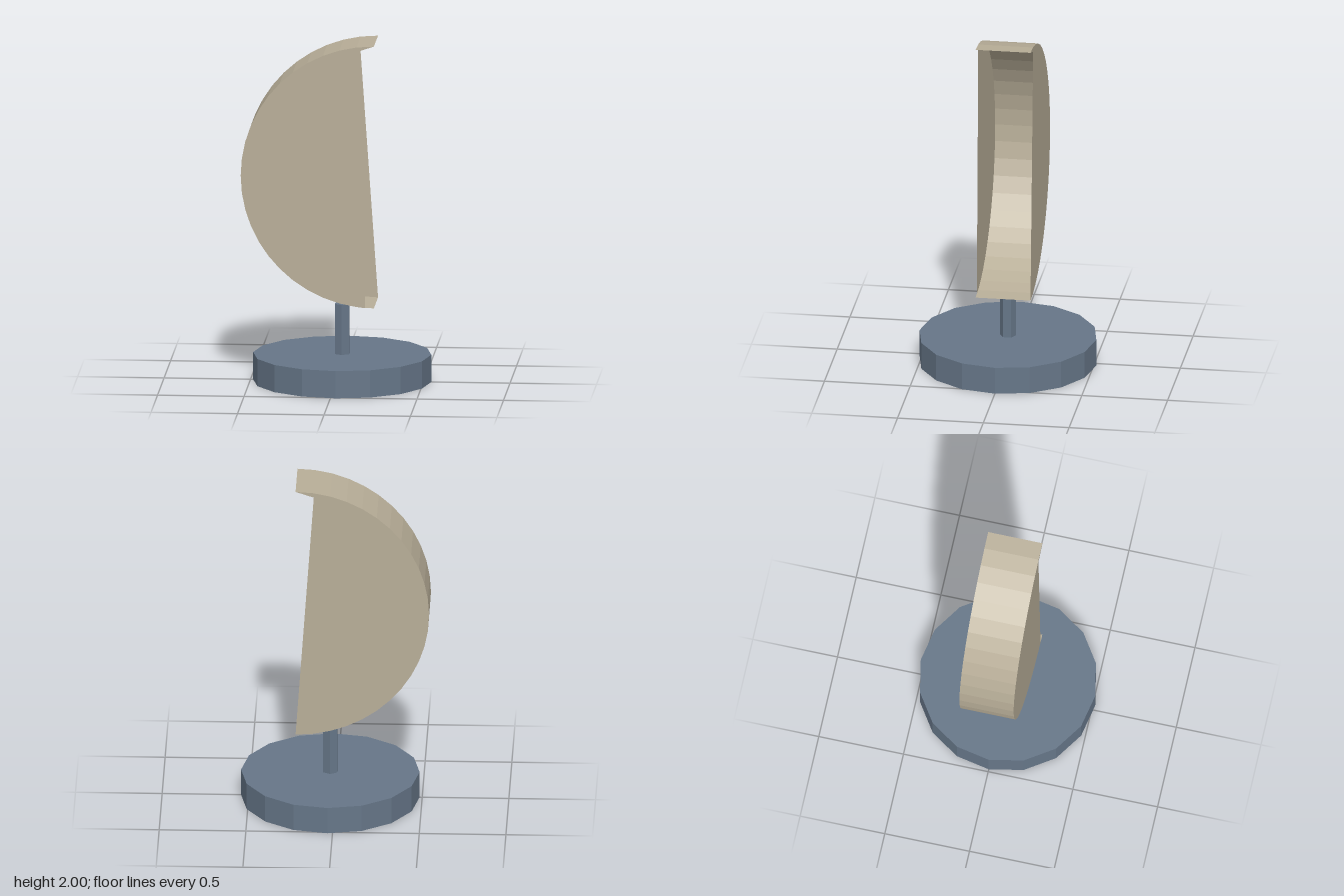
import * as THREE from 'three';

const RADIUS = 0.77, CX = 0.225, CY = 1.23, HALF = 0.16, STEPS = 24;

function addMesh(group, name, geometry, material, x = 0, y = 0, z = 0) {
  const mesh = new THREE.Mesh(geometry, material);
  mesh.name = name;
  mesh.position.set(x, y, z);
  group.add(mesh);
  return mesh;
}

// Flat half-disc cheek: arc from top tip round to the bottom, closed by a slanted edge
function cheekGeometry(bottomX) {
  const shape = new THREE.Shape();
  shape.moveTo(CX, CY + RADIUS);
  for (let i = 1; i <= STEPS; i++) {
    const a = Math.PI / 2 + (Math.PI * i) / STEPS;
    const x = CX + RADIUS * Math.cos(a);
    // The last point slides along the final facet to the cheek's lower corner
    shape.lineTo(i === STEPS ? bottomX : x, CY + RADIUS * Math.sin(a));
  }
  shape.lineTo(0.12, 1.965);
  shape.closePath();
  return new THREE.ShapeGeometry(shape);
}

export function createModel() {
  const model = new THREE.Group();
  const shellMat = new THREE.MeshStandardMaterial({
    color: 0xb8ae98, flatShading: true, side: THREE.DoubleSide,
  });
  const baseMat = new THREE.MeshStandardMaterial({ color: 0x667688, flatShading: true });

  // Stand: faceted disc and hexagonal post
  addMesh(model, 'base', new THREE.CylinderGeometry(0.515, 0.515, 0.16, 16), baseMat, 0.03, 0.08);
  addMesh(model, 'post', new THREE.CylinderGeometry(0.0465, 0.0465, 0.295, 6), baseMat, 0.03, 0.3075);

  // Hollow half-round shell: curved rim band and two cheeks, open towards +x
  const shell = new THREE.Group();
  shell.name = 'shell';
  const rim = new THREE.CylinderGeometry(RADIUS, RADIUS, HALF * 2, STEPS, 1, true, Math.PI, Math.PI);
  rim.rotateX(Math.PI / 2);
  addMesh(shell, 'rim', rim, shellMat, CX, CY);
  addMesh(shell, 'frontCheek', cheekGeometry(0.175), shellMat, 0, 0, HALF);
  addMesh(shell, 'backCheek', cheekGeometry(CX), shellMat, 0, 0, -HALF);
  model.add(shell);

  return model;
}
